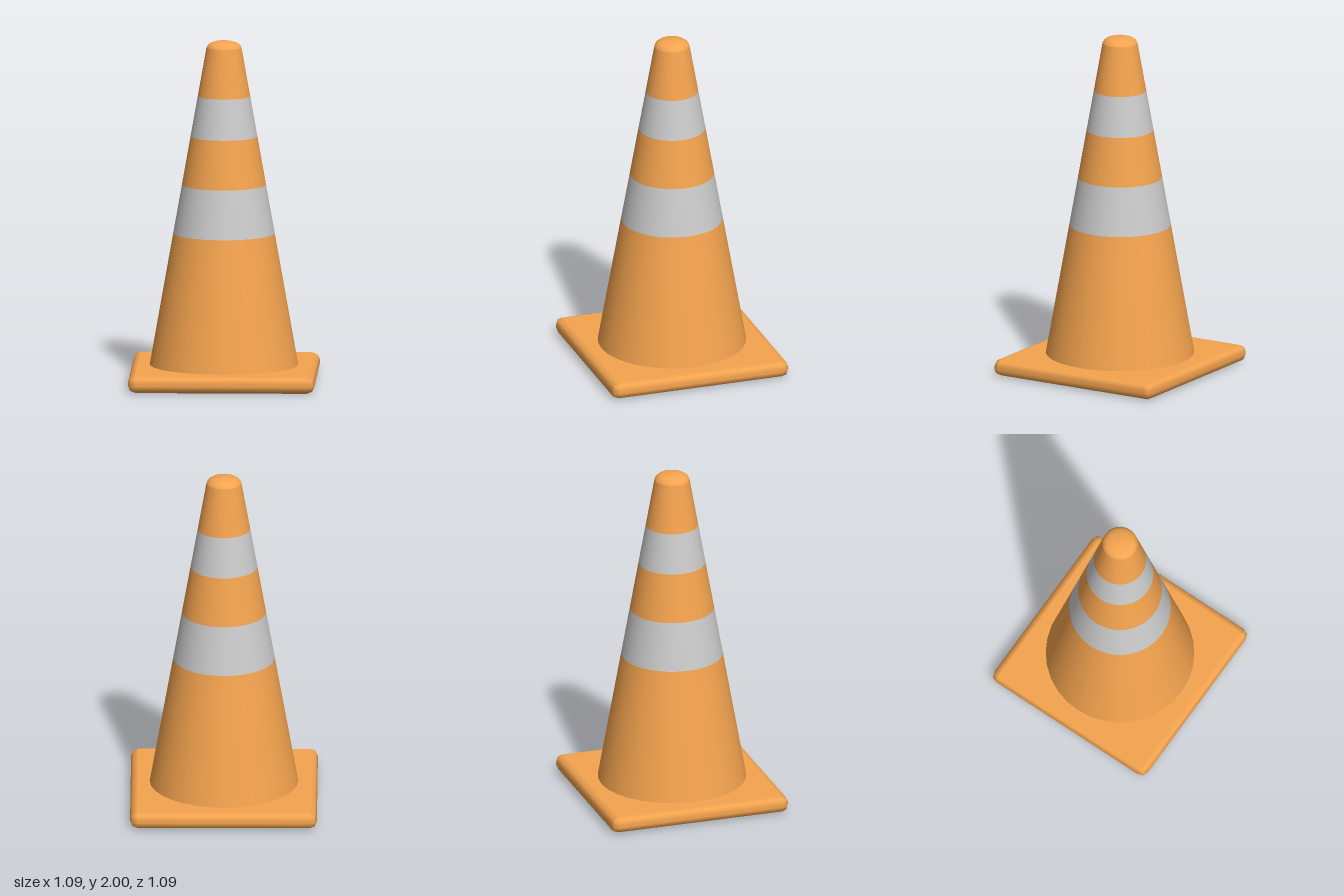
import * as THREE from 'three';
import { RoundedBoxGeometry } from 'three/addons/geometries/RoundedBoxGeometry.js';

const SIDES = 32;
const BASE_H = 0.1, SHOULDER_Y = 1.96;
const R_BOTTOM = 0.432, R_TOP = 0.102;

// Cone radius at a given height
const radiusAt = (y) =>
  THREE.MathUtils.mapLinear(y, BASE_H, SHOULDER_Y, R_BOTTOM, R_TOP);

export function createModel() {
  const group = new THREE.Group();
  const orange = new THREE.MeshStandardMaterial({ color: 0xf5a44f });
  const grey = new THREE.MeshStandardMaterial({ color: 0xcccccc });

  const add = (name, geometry, material) => {
    const mesh = new THREE.Mesh(geometry, material);
    mesh.name = name;
    group.add(mesh);
    return mesh;
  };

  // Square foot with softened edges
  add('base', new RoundedBoxGeometry(1.086, BASE_H, 1.086, 1, 0.045), orange)
    .position.y = BASE_H / 2;

  // Cone body as flush stacked bands
  const bands = [
    ['lowerBody', BASE_H, 0.87, orange],
    ['lowerStripe', 0.87, 1.155, grey],
    ['middleBody', 1.155, 1.44, orange],
    ['upperStripe', 1.44, 1.675, grey],
    ['upperBody', 1.675, SHOULDER_Y, orange],
  ];
  for (const [name, y0, y1, material] of bands) {
    const geometry = new THREE.CylinderGeometry(radiusAt(y1), radiusAt(y0), y1 - y0, SIDES, 1, true);
    add(name, geometry, material).position.y = (y0 + y1) / 2;
  }

  // Shallow domed tip
  const dome = [[R_TOP, SHOULDER_Y], [0.094, 1.975], [0.078, 1.987], [0.05, 1.996], [0, 2]]
    .map(([r, y]) => new THREE.Vector2(r, y));
  add('tip', new THREE.LatheGeometry(dome, SIDES), orange);

  return group;
}
